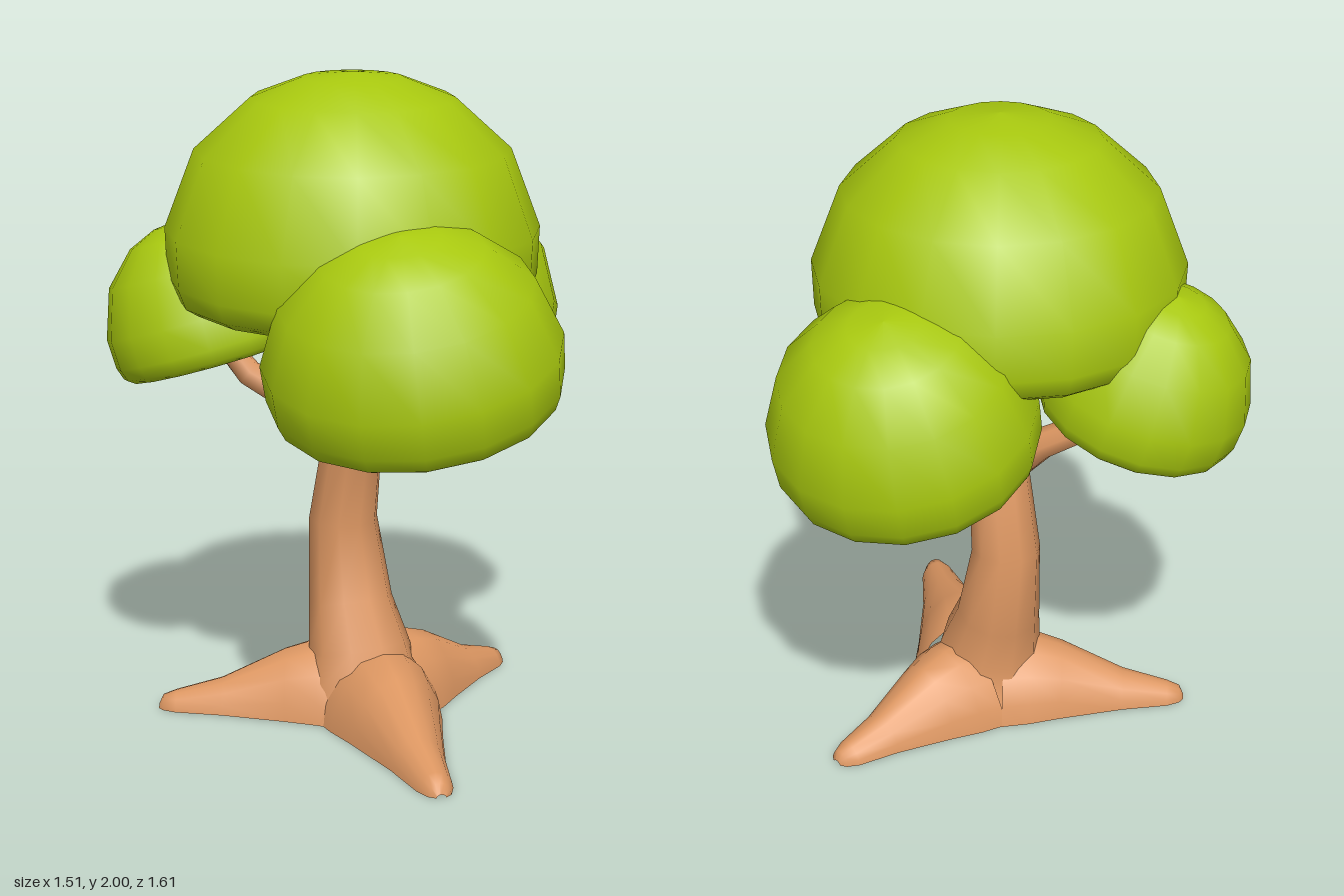
import * as THREE from 'three';
import { toCreasedNormals } from 'three/addons/utils/BufferGeometryUtils.js';

const V = (x, y, z) => new THREE.Vector3(x, y, z);

// Skin a list of rings (arrays of Vector3); open rings leave the underside hollow
function loft(rings, closed) {
  const n = rings[0].length;
  const index = [];
  for (let i = 0; i < rings.length - 1; i++) {
    for (let j = 0; j < (closed ? n : n - 1); j++) {
      const k = (j + 1) % n;
      const a = i * n + j, b = i * n + k, c = b + n, d = a + n;
      index.push(a, b, c, a, c, d);
    }
  }
  const geometry = new THREE.BufferGeometry().setFromPoints(rings.flat());
  geometry.setIndex(index);
  return toCreasedNormals(geometry, 1.0);
}

// Tapered limb along stations [x, y, z, radius]
function limb(stations, sides) {
  const centres = stations.map(([x, y, z]) => V(x, y, z));
  const u = V(0.3, 0, 1);
  return loft(centres.map((p, i) => {
    const t = centres[Math.min(i + 1, centres.length - 1)].clone()
      .sub(centres[Math.max(i - 1, 0)]).normalize();
    u.addScaledVector(t, -u.dot(t)).normalize();
    const v = t.clone().cross(u);
    return Array.from({ length: sides }, (_, j) => {
      const a = (j / sides) * Math.PI * 2;
      return p.clone().addScaledVector(u, stations[i][3] * Math.cos(a))
        .addScaledVector(v, stations[i][3] * Math.sin(a));
    });
  }), true);
}

// Hollow root from the trunk foot to a tip on the ground
function root(tipX, tipZ) {
  const start = V(-0.07, 0, -0.04), tip = V(tipX, 0, tipZ);
  const dir = tip.clone().sub(start).normalize();
  const side = V(0, 1, 0).cross(dir);
  // fraction of length, half width, height
  const sections = [[0.12, 0.2, 0.22], [0.25, 0.18, 0.22], [0.4, 0.145, 0.19],
    [0.7, 0.085, 0.095], [0.92, 0.055, 0.055], [0.98, 0.035, 0.04], [1, 0.015, 0.01]];
  return loft(sections.map(([f, w, h]) => Array.from({ length: 9 }, (_, j) => {
    const a = (j / 8) * Math.PI;
    return start.clone().lerp(tip, f).addScaledVector(side, w * Math.cos(a))
      .setY(h * Math.abs(Math.sin(a)) ** 1.25);
  })), false);
}

// Unit dome profile: hollow underside, rounded rim, round top
const domeProfile = [[0, 0.2], [0.45, 0.17], [0.75, 0.08], [0.88, 0], [0.95, 0.035], [0.99, 0.12],
  [1, 0.33], [0.84, 0.67], [0.54, 0.89], [0.27, 0.975], [0, 1]]
  .map(([r, y]) => new THREE.Vector2(r, y));

export function createModel() {
  const bark = new THREE.MeshStandardMaterial({ color: 0xdd9762, side: THREE.DoubleSide });
  bark.name = 'bark';
  const leaves = new THREE.MeshStandardMaterial({ color: 0xa8c80f });
  leaves.name = 'leaves';

  const tree = new THREE.Group();
  tree.name = 'tree';
  const add = (name, geometry, material) => {
    const mesh = new THREE.Mesh(geometry, material);
    mesh.name = name;
    tree.add(mesh);
    return mesh;
  };

  // Curved trunk
  add('trunk', limb([
    [-0.1, 0, -0.05, 0.22], [-0.1, 0.1, -0.05, 0.185], [-0.1, 0.2, -0.06, 0.16],
    [-0.09, 0.34, -0.105, 0.132], [-0.075, 0.6, -0.15, 0.108], [-0.11, 0.9, -0.07, 0.092],
    [-0.12, 1.1, -0.01, 0.072], [-0.13, 1.46, 0.0, 0.055],
  ], 10), bark);

  // Spreading roots
  add('rightRoot', root(0.53, -0.02), bark);
  add('frontRoot', root(-0.48, 0.62), bark);
  add('backRoot', root(-0.53, -0.52), bark);

  // Branches holding the side crowns
  add('frontBranch', limb([
    [-0.11, 0.89, -0.07, 0.07], [-0.15, 0.91, 0.06, 0.07], [-0.2, 0.95, 0.2, 0.06],
    [-0.28, 1.07, 0.35, 0.042], [-0.32, 1.24, 0.42, 0.03],
  ], 7), bark);
  add('rightBranch', limb([
    [-0.1, 0.88, -0.07, 0.07], [0.02, 1.05, -0.05, 0.058],
    [0.2, 1.045, -0.06, 0.048], [0.39, 1.23, -0.1, 0.03],
  ], 7), bark);
  add('backBranch', limb([
    [-0.11, 0.84, -0.09, 0.065], [-0.17, 0.96, -0.21, 0.05],
    [-0.27, 1.06, -0.36, 0.042], [-0.36, 1.24, -0.47, 0.03],
  ], 7), bark);

  // Leaf crowns: name, base centre, radius, height, tilted axis
  const crowns = [
    ['topCrown', [-0.122, 1.305, -0.06], 0.563, 0.695, [-0.03, 1, 0.035]],
    ['frontCrown', [-0.285, 1.08, 0.35], 0.437, 0.54, [-0.28, 1, 0.12]],
    ['rightCrown', [0.325, 1.085, -0.15], 0.4, 0.525, [0.28, 1, -0.1]],
    ['backCrown', [-0.305, 1.1, -0.455], 0.32, 0.445, [-0.11, 1, -0.28]],
  ];
  for (const [name, base, radius, height, axis] of crowns) {
    const crown = add(name, new THREE.LatheGeometry(domeProfile, 16), leaves);
    crown.position.set(...base);
    crown.scale.set(radius, height, radius);
    crown.quaternion.setFromUnitVectors(V(0, 1, 0), V(...axis).normalize());
  }
  return tree;
}
